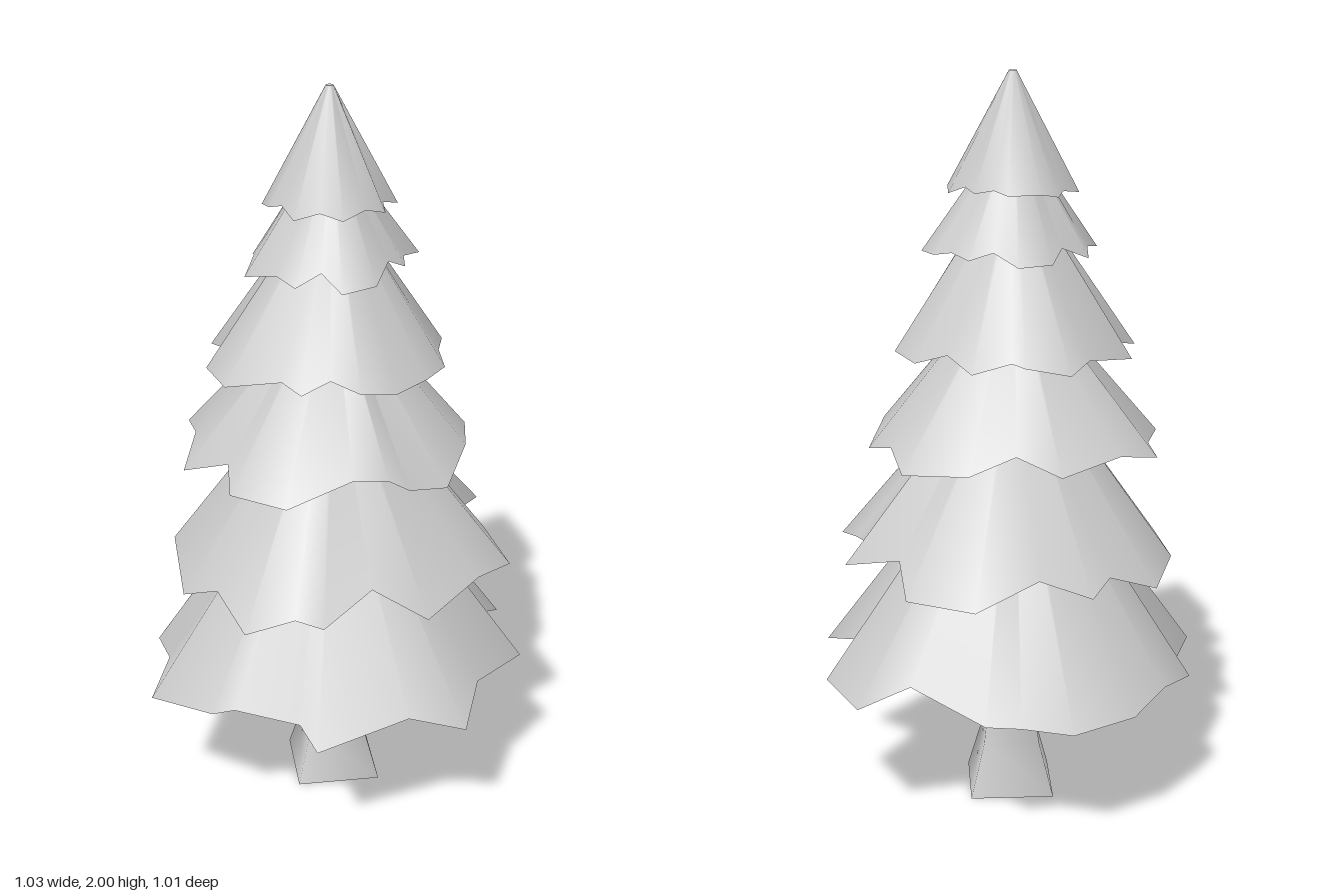
import * as THREE from 'three';

const CX = -0.023, CZ = -0.03; // axis of the tree

const material = new THREE.MeshStandardMaterial({ color: 0xcccccc, side: THREE.DoubleSide });

// One hollow, ragged skirt of branches, narrowing straight from its rim to a small
// ring on the axis. The rim lists x, z and height above rimY in hundredths,
// clockwise from above.
function addTier(group, name, { rimY, topY, topR }, rim) {
  const n = rim.length / 3, position = [], index = [];
  for (let i = 0; i < n; i++) {
    const [x, z, lift] = rim.slice(3 * i, 3 * i + 3).map(v => v / 100);
    const k = topR / Math.hypot(x - CX, z - CZ);
    position.push(x, rimY + lift, z, CX + (x - CX) * k, topY, CZ + (z - CZ) * k);
    const a = 2 * i, b = 2 * ((i + 1) % n);
    index.push(a, a + 1, b, b, a + 1, b + 1);
  }
  const g = new THREE.BufferGeometry();
  g.setAttribute('position', new THREE.Float32BufferAttribute(position, 3));
  g.setIndex(index);
  g.computeVertexNormals();
  const mesh = new THREE.Mesh(g, material);
  mesh.name = name;
  group.add(mesh);
}

export function createModel() {
  const group = new THREE.Group();
  group.name = 'pineTree';

  // Four-sided trunk, flared at the foot and open below
  const profile = [[0.162, 0], [0.108, 0.15], [0.085, 0.3], [0.076, 0.45], [0.06, 0.9]]
    .map(([r, y]) => new THREE.Vector2(r, y));
  const trunk = new THREE.Mesh(new THREE.LatheGeometry(profile, 4), material);
  trunk.name = 'trunk';
  trunk.position.set(CX, 0, CZ + 0.005);
  group.add(trunk);

  // Branch tiers, lowest first
  addTier(group, 'branchTier1', { rimY: 0.36, topY: 1.06, topR: 0.04 }, [
    -10.5, -50.5, 4, 3, -51, 0, 22.3, -46.3, 0, 28.3, -33.7, 0, 37, -29, 2, 43, -8, 9,
    51.5, 3.3, 2, 43.3, 23.8, 2, 30.3, 26.3, 8, 28.3, 28, 8, 24.3, 43.4, 3, 0, 44.8, 7,
    -14, 50.4, 1, -25, 39.5, 6, -45, 24.4, 0, -43.3, 17.4, 5, -48, -1, 5, -51.7, -5.6, 4,
    -50.6, -28.2, 0, -33, -37.2, 1, -26.7, -46.7, 1]);
  addTier(group, 'branchTier2', { rimY: 0.68, topY: 1.25, topR: 0.04 }, [
    -9, -48, 0, 3.6, -42.3, 5, 12.4, -44, 2, 22, -34, 7, 40, -28.4, 2, 45.6, -9.4, 2,
    37, 1.4, 8, 42.8, 15.8, 5, 31, 18, 7, 27, 28, 6, 19, 42, 2, 6, 40.3, 3,
    -18, 40.3, 1, -24, 26.6, 8, -39.5, 22.6, 2, -43, 16, 4, -51, 5.8, 0, -43, -10, 4,
    -44.2, -20.8, 0, -25, -40.6, 3]);
  addTier(group, 'branchTier3', { rimY: 1.0, topY: 1.46, topR: 0.03 }, [
    -13.8, -43.6, 2, -2.5, -40.3, 4, 16.9, -37, 2, 20.7, -24.9, 6, 32, -18.8, 2, 39.8, -2.8, 1,
    31.2, 9.7, 4, 30.4, 18.8, 2, 13, 30.4, 5, -3.3, 35.6, 0, -12.2, 29.8, 1, -21, 29.3, 7,
    -24.6, 21, 6, -41.4, 12.4, 2, -43.4, -4.4, 2, -34.3, -12.4, 5, -37.6, -24.9, 1,
    -20.4, -35.4, 3]);
  addTier(group, 'branchTier4', { rimY: 1.26, topY: 1.7, topR: 0.04 }, [
    -13.8, -34.5, 1, 1.7, -32.9, 3, 11, -34.8, 1, 18.8, -26.2, 3, 20.2, -22.9, 4, 26.8, -15.2, 1,
    24.6, -4.7, 4, 27.6, 4.1, 1, 24.3, 14.6, 2, 12.7, 21.3, 4, 8, 26.5, 2, -1.7, 27.6, 2,
    -12.2, 25.7, 1, -21.8, 21.3, 3, -23.2, 12.7, 5, -29.6, 8.3, 2, -29.3, 1.9, 4,
    -34.8, -12.4, 1, -27.6, -24.6, 1, -18.2, -24.6, 3]);
  addTier(group, 'branchTier5', { rimY: 1.53, topY: 1.83, topR: 0.03 }, [
    -8.3, -24, 0, -1.9, -20.4, 3, 5, -23.2, 0, 14.1, -19.6, 0, 14.6, -11.6, 3, 19.1, -7.2, 1,
    17.7, 0, 2, 18.8, 5.5, 1, 16.6, 11.9, 1, 7.2, 13.5, 3, 3, 16.9, 2, -1.1, 14.6, 4,
    -11.3, 18.2, 1, -19.1, 13.3, 0, -18.5, 6.4, 4, -24.6, 2.8, 1, -22.4, -5, 2,
    -23.2, -14.6, 0, -12.7, -19.9, 2]);
  addTier(group, 'treeTop', { rimY: 1.69, topY: 2, topR: 0.01 }, [
    -1.9, -19.1, 0, 3, -17.7, 1, 10.5, -13, 1, 10.8, -8.3, 2, 13, -3.6, 1, 11, 1.4, 2,
    11.9, 6.6, 0, 6.6, 11.9, 1, 2.5, 10.2, 2, -1.9, 14.1, 1, -5.8, 10.8, 2, -14.1, 9.9, 1,
    -14.9, 3.3, 2, -18.5, -2.2, 0, -15.5, -8.3, 2, -15.7, -12.2, 1, -12.2, -17.4, 0,
    -5.8, -17.4, 1]);

  // Small flat tip
  const tip = new THREE.Mesh(new THREE.CircleGeometry(0.01, 18).rotateX(-Math.PI / 2), material);
  tip.name = 'tip';
  tip.position.set(CX, 2, CZ);
  group.add(tip);

  return group;
}
